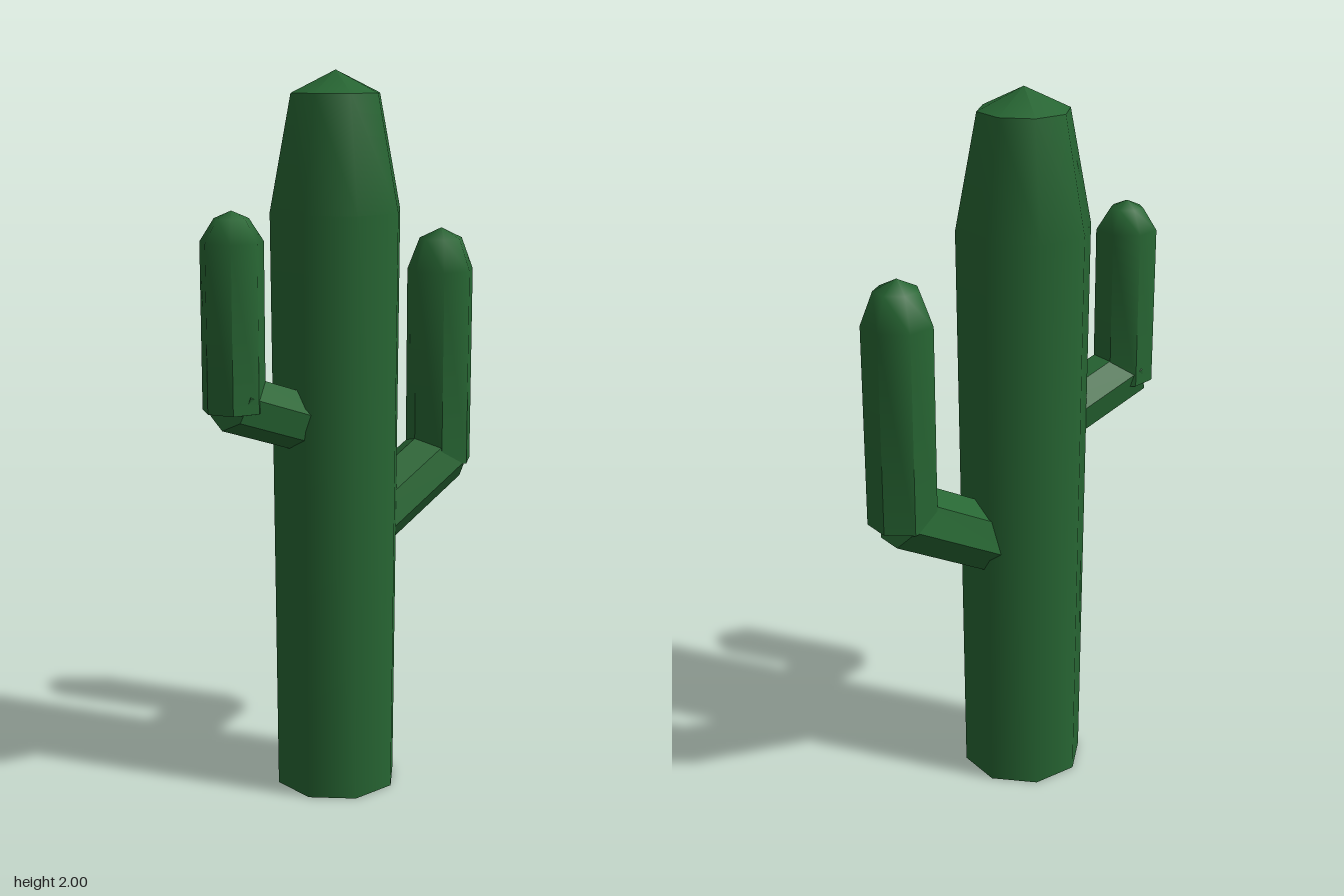
import * as THREE from 'three';

const green = new THREE.MeshStandardMaterial({ color: 0x276633 });
green.name = 'cactus green';

function add(parent, geometry, name) {
  const mesh = new THREE.Mesh(geometry, green);
  mesh.name = name;
  parent.add(mesh);
  return mesh;
}

// Smooth many-sided column from [radius, height] pairs
function column(profile, sides, start) {
  const points = profile.map(([r, y]) => new THREE.Vector2(r, y));
  return new THREE.LatheGeometry(points, sides, start, Math.PI * 2);
}

// Downward-facing polygon that closes a column's base
function baseCap(r, sides, start) {
  return new THREE.CylinderGeometry(0, r, 0.0001, sides, 1, false, start);
}

// Faceted normals along the bottom ring, fading to smooth ones higher up
function facetBottom(source, y) {
  const g = source.toNonIndexed();
  const p = g.attributes.position, n = g.attributes.normal;
  const tri = new THREE.Triangle(), normal = new THREE.Vector3();
  for (let i = 0; i < p.count; i += 3) {
    tri.setFromAttributeAndIndices(p, i, i + 1, i + 2).getNormal(normal);
    for (let k = i; k < i + 3; k++) {
      if (Math.abs(p.getY(k) - y) < 1e-4) n.setXYZ(k, normal.x, normal.y, normal.z);
    }
  }
  return g;
}

// Seven-sided elbow branch plus an upright, domed limb
function makeArm(name, { x, r, bottom, shoulder, mid, midR, top, from, to, branchR }) {
  const arm = new THREE.Group();
  arm.name = name;
  const start = -Math.PI / 2;

  const limb = column([[r, bottom], [r, shoulder], [midR, mid], [0, top]], 7, start);
  add(arm, facetBottom(limb, bottom), 'uprightLimb').position.x = x;
  add(arm, baseCap(r, 7, start), 'limbBase').position.set(x, bottom, 0);

  const a = new THREE.Vector3(...from, 0), b = new THREE.Vector3(...to, 0);
  const dir = b.clone().sub(a);
  const tube = new THREE.CylinderGeometry(branchR, branchR, dir.length(), 7, 1, false, start)
    .toNonIndexed();
  tube.computeVertexNormals();
  const branch = add(arm, tube, 'branch');
  branch.position.copy(a).add(b).multiplyScalar(0.5);
  branch.quaternion.setFromUnitVectors(new THREE.Vector3(0, 1, 0), dir.normalize());
  return arm;
}

export function createModel() {
  const model = new THREE.Group();
  model.name = 'cactus';

  // Eight-sided trunk, tapering near the top to a shallow point
  const trunk = new THREE.Group();
  trunk.name = 'trunk';
  trunk.position.x = -0.027;
  const turn = Math.PI / 8;
  add(trunk, column([[0.174, 0], [0.185, 1.63], [0.125, 1.94]], 8, turn), 'trunkBody');
  add(trunk, column([[0.125, 1.94], [0, 2]], 8, turn), 'trunkTip');
  add(trunk, baseCap(0.174, 8, turn), 'trunkBase');
  model.add(trunk);

  model.add(makeArm('leftArm', {
    x: 0.372, r: 0.097, bottom: 0.88, shoulder: 1.44, mid: 1.53, midR: 0.062, top: 1.56,
    from: [0.04, 0.725], to: [0.38, 0.905], branchR: 0.094,
  }));
  model.add(makeArm('rightArm', {
    x: -0.38, r: 0.085, bottom: 1.13, shoulder: 1.57, mid: 1.63, midR: 0.046, top: 1.65,
    from: [-0.1, 1.052], to: [-0.392, 1.157], branchR: 0.082,
  }));
  return model;
}
